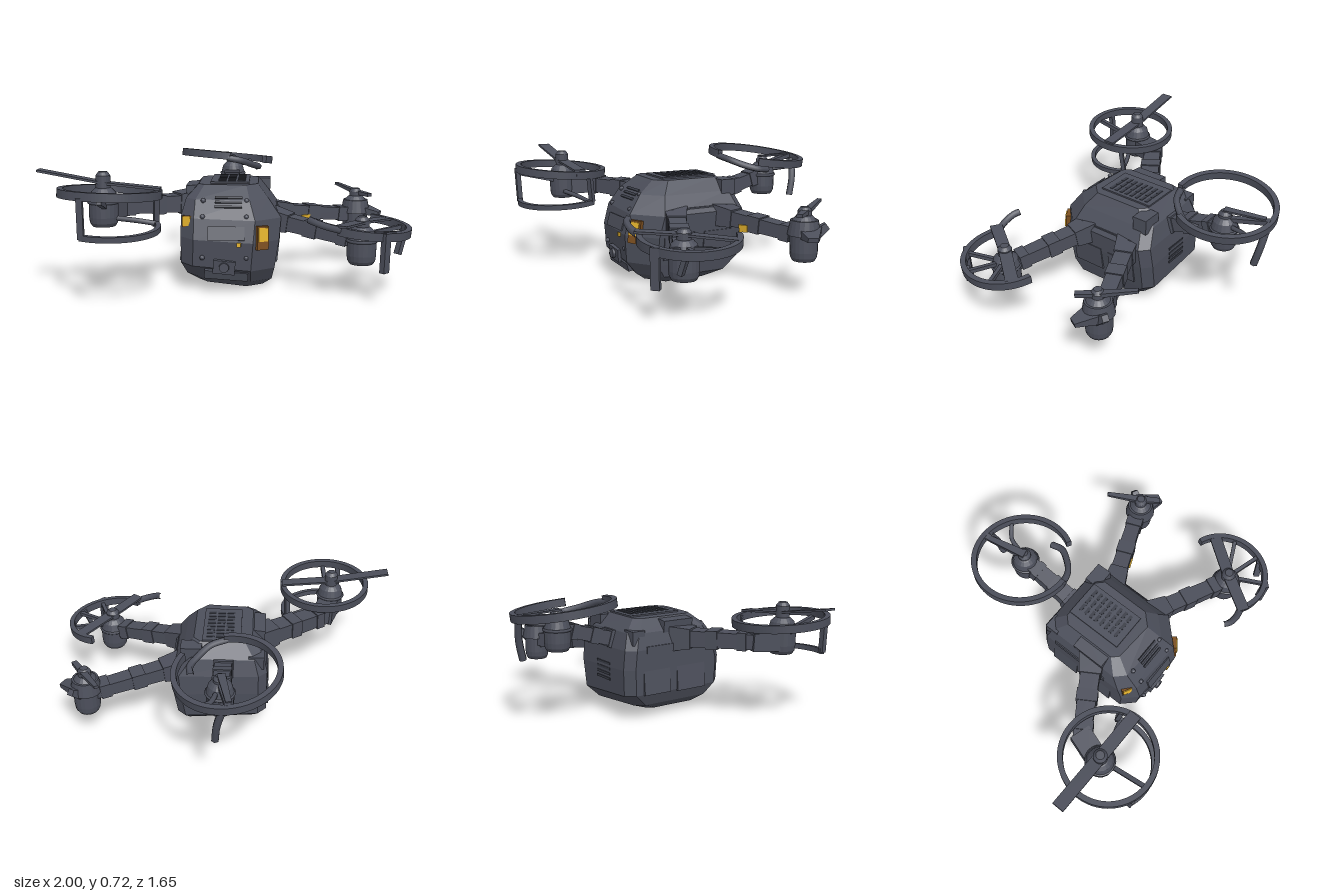
import * as THREE from 'three';

const mat = (name, color, extra = {}) => Object.assign(new THREE.MeshStandardMaterial({ color, ...extra }), { name });

export function createModel() {
  const root = new THREE.Group();
  root.name = 'damagedQuadcopter';
  const shell = mat('slateShell', 0x4c4f5b, { flatShading: true });
  const smooth = mat('slateMetal', 0x4c4f5b);
  const dark = mat('darkVent', 0x3a3d47);
  const amber = mat('amberLamp', 0xf0bc30);
  const brown = mat('brownLampRim', 0x7d5020);

  const add = (name, geo, m, p = [0, 0, 0], r = [0, 0, 0]) => {
    const mesh = new THREE.Mesh(geo, m);
    mesh.name = name;
    mesh.position.set(...p);
    mesh.rotation.set(...r);
    root.add(mesh);
    return mesh;
  };
  const box = (name, size, p, r, m = shell) => add(name, new THREE.BoxGeometry(...size), m, p, r);

  // Tapered bar between two points
  const beam = (name, a, b, w, h, taper = 1) => {
    const A = new THREE.Vector3(...a), B = new THREE.Vector3(...b), len = A.distanceTo(B);
    const g = new THREE.BoxGeometry(w, h, len).translate(0, 0, len / 2);
    const q = g.attributes.position;
    for (let i = 0; i < q.count; i++) {
      if (q.getZ(i) > len / 2) q.setXY(i, q.getX(i) * taper, q.getY(i) * taper);
    }
    add(name, g, shell, a).lookAt(B);
  };

  // Flat guard band; angles in degrees, from +x towards +z
  const guard = (name, p, r, a0, a1, tilt, h = 0.045, t = 0.03) => {
    const s = new THREE.Shape(), d = Math.PI / 180;
    s.absarc(0, 0, r, a0 * d, a1 * d, false);
    s.absarc(0, 0, r - t, a1 * d, a0 * d, true);
    const g = new THREE.ExtrudeGeometry(s, { depth: h, bevelEnabled: false, curveSegments: 48 });
    g.translate(0, 0, -h / 2).rotateX(Math.PI / 2);
    add(name, g, smooth, p, tilt);
  };

  const strand = (name, pts, r = 0.014) => add(name, new THREE.TubeGeometry(
    new THREE.CatmullRomCurve3(pts.map(p => new THREE.Vector3(...p))), 24, r, 6), smooth);

  // Motor can with a domed shoulder and a stepped hub
  const motor = (name, x, z, y0, y1, top, r) => {
    const prof = [[0, y0], [r * 0.8, y0], [r * 0.95, y0 + 0.02], [r, y0 + 0.05], [r, y1 - 0.04], [r * 0.85, y1],
      [r * 0.6, y1 + 0.02], [r * 0.5, y1 + 0.025], [r * 0.5, top - 0.02], [r * 0.3, top], [0, top]];
    add(name, new THREE.LatheGeometry(prof.map(p => new THREE.Vector2(...p)), 20), shell, [x, 0, z]);
    add(name + 'Collar', new THREE.TorusGeometry(r, 0.009, 6, 20), smooth, [x, y1 - 0.05, z], [Math.PI / 2, 0, 0]);
  };

  // Hull: chamfered rectangles [y, x0, x1, z0, z1, front chamfer, rear chamfer] stacked upwards
  const levels = [
    [0, -0.17, 0.19, -0.05, 0.32, 0.07, 0.04],
    [0.045, -0.235, 0.24, -0.17, 0.38, 0.09, 0.05],
    [0.12, -0.265, 0.255, -0.25, 0.44, 0.1, 0.05],
    [0.28, -0.265, 0.28, -0.255, 0.455, 0.11, 0.05],
    [0.4, -0.265, 0.29, -0.245, 0.425, 0.11, 0.05],
    [0.5, -0.24, 0.22, -0.215, 0.35, 0.08, 0.05],
    [0.575, -0.175, 0.16, -0.14, 0.26, 0.05, 0.04],
  ];
  const pos = [], idx = [];
  for (const [y, x0, x1, z0, z1, f, c] of levels) {
    const fl = f * 0.7, fr = f * 1.3, zl = z1 - 0.015;
    const loop = [[x0 + fl, zl], [x1 - fr, z1], [x1, z1 - fr], [x1, z0 + c],
      [x1 - c, z0], [x0 + c, z0], [x0, z0 + c], [x0, zl - fl]];
    for (const [x, z] of loop) pos.push(x, y + Math.max(0, 0.575 - y) * 0.16 * (0.2 - x), z);
  }
  for (let l = 0; l < levels.length - 1; l++) {
    for (let i = 0; i < 8; i++) {
      const a = l * 8 + i, b = l * 8 + (i + 1) % 8;
      idx.push(a, b, b + 8, a, b + 8, a + 8);
    }
  }
  const last = (levels.length - 1) * 8;
  for (let i = 1; i < 7; i++) idx.push(last, last + i, last + i + 1, 0, i + 1, i);
  const hull = new THREE.BufferGeometry();
  hull.setAttribute('position', new THREE.Float32BufferAttribute(pos, 3));
  hull.setIndex(idx);
  hull.computeVertexNormals();
  add('bodyHull', hull, shell);

  // Roof grille, front vent and underside grille
  box('roofPanel', [0.22, 0.012, 0.34], [0, 0.578, 0.03]);
  for (let i = 0; i < 8; i++) {
    for (const x of [-0.045, 0.01, 0.065]) box('roofVentSlot', [0.045, 0.006, 0.018], [x, 0.584, -0.1 + i * 0.036], [0, 0, 0], dark);
  }
  for (let i = 0; i < 3; i++) box('noseVentSlot', [0.15, 0.008, 0.014], [0, 0.515 - i * 0.022, 0.335 + i * 0.02], [0.75, 0, 0], dark);
  for (let i = 0; i < 8; i++) box('bellyVentSlot', [0.18, 0.008, 0.016], [0.03, 0.014, 0.02 + i * 0.032], [0, 0, -0.09], dark);
  for (let i = 0; i < 4; i++) box('rearVentSlot', [0.14, 0.014, 0.008], [0, 0.22 + i * 0.03, -0.254], [0, 0, 0], dark);

  // Front face: plate, sensor, bumper and rivets
  box('nosePlate', [0.2, 0.075, 0.012], [-0.01, 0.335, 0.441], [-0.28, 0, 0]);
  box('noseBumper', [0.24, 0.05, 0.03], [-0.01, 0.1, 0.415], [0.3, 0, -0.08]);
  box('sensorHousing', [0.12, 0.075, 0.05], [-0.02, 0.15, 0.43], [0.1, 0, -0.1]);
  add('sensorLens', new THREE.CylinderGeometry(0.026, 0.03, 0.03, 16), smooth, [-0.02, 0.15, 0.455], [Math.PI / 2, 0, 0]);
  for (const x of [-0.14, 0.1]) {
    for (const [y, z] of [[0.5, 0.345], [0.42, 0.405], [0.2, 0.44]]) {
      add('rivet', new THREE.SphereGeometry(0.014, 8, 6), smooth, [x, y, z]);
    }
  }

  // Amber lamps
  box('lampRimLeft', [0.075, 0.13, 0.04], [0.18, 0.307, 0.407], [-0.1, 0.6, 0], brown);
  box('lampLeft', [0.06, 0.075, 0.008], [0.191, 0.327, 0.424], [-0.1, 0.6, 0], amber);
  box('lampRimRight', [0.062, 0.064, 0.03], [-0.222, 0.387, 0.365], [-0.1, -0.5, 0], brown);
  box('lampRight', [0.052, 0.052, 0.008], [-0.229, 0.39, 0.379], [-0.1, -0.5, 0], amber);
  box('noseIndicator', [0.022, 0.022, 0.009], [0.06, 0.275, 0.457], [0, 0, 0], amber);

  // Side panels and shoulder blocks
  for (const [x, s] of [[0.268, 1], [-0.262, -1]]) {
    box('sidePanel', [0.02, 0.15, 0.2], [x, 0.22, 0.18], [0, 0, -0.1]);
    box('sidePanelRear', [0.02, 0.14, 0.18], [x, 0.22, -0.06], [0, 0, -0.1]);
    box('sideRail', [0.03, 0.04, 0.36], [x - s * 0.01, 0.41, 0.05]);
  }
  box('shoulderRight', [0.1, 0.1, 0.2], [-0.195, 0.515, 0.1], [0, 0, 0.1]);
  box('shoulderRear', [0.12, 0.09, 0.09], [0.17, 0.52, -0.16]);
  box('shoulderRearRight', [0.09, 0.08, 0.08], [-0.2, 0.48, -0.17]);

  // Arms: root socket, tapered spar and clamp rings along it
  const arm = (name, a, b, w) => {
    const at = t => a.map((v, i) => v + (b[i] - v) * t);
    beam(name + 'Socket', at(-0.12), at(0.15), w * 1.35, w * 1.25, 0.8);
    beam(name, a, b, w, w * 0.85, 0.85);
    beam(name + 'Clamp', at(0.36), at(0.52), w * 1.05, w * 0.92);
    beam(name + 'Cuff', at(0.78), at(0.9), w, w * 0.88);
  };
  arm('rearArm', [-0.015, 0.445, -0.2], [-0.015, 0.535, -0.52], 0.1);
  arm('frontRightArm', [-0.25, 0.455, 0.13], [-0.62, 0.47, 0.36], 0.115);
  beam('frontRightElbow', [-0.6, 0.47, 0.33], [-0.66, 0.46, 0.52], 0.12, 0.1);
  arm('frontLeftArm', [0.28, 0.37, 0.21], [0.7, 0.3, 0.395], 0.1);
  arm('rearLeftArm', [0.28, 0.37, -0.11], [0.74, 0.32, -0.3], 0.1);
  box('armLamp', [0.055, 0.04, 0.009], [0.448, 0.32, -0.124], [0.1, 0.39, 0], amber);

  // Rear rotor: open guard with a torn, curled end
  motor('rearMotor', -0.015, -0.56, 0.42, 0.59, 0.65, 0.075);
  guard('rearGuard', [-0.05, 0.655, -0.535], 0.295, 84, 390, [-0.1, 0, -0.09]);
  strand('rearGuardTornEnd', [[-0.04, 0.67, -0.255], [0.05, 0.65, -0.285], [0.115, 0.62, -0.35], [0.155, 0.6, -0.42], [0.145, 0.59, -0.49]], 0.02);
  beam('rearStrut', [-0.02, 0.6, -0.58], [-0.07, 0.64, -0.81], 0.035, 0.025);
  strand('rearBrokenStrut', [[0, 0.57, -0.6], [0.03, 0.58, -0.7], [0.1, 0.6, -0.76]]);
  strand('rearHangingStrut', [[-0.04, 0.62, -0.805], [-0.01, 0.5, -0.79], [0, 0.39, -0.765]], 0.022);
  beam('rearBlade', [-0.02, 0.65, -0.55], [-0.07, 0.65, -0.78], 0.045, 0.012, 0.7);

  // Front right rotor: full guard, blades and a hanging lower hoop
  motor('frontRightMotor', -0.655, 0.52, 0.39, 0.57, 0.68, 0.078);
  guard('frontRightGuard', [-0.615, 0.57, 0.545], 0.275, 0, 359.9, [-0.06, 0, -0.03]);
  guard('frontRightLowerHoop', [-0.615, 0.385, 0.55], 0.265, -30, 116, [0.05, 0, -0.03], 0.03, 0.027);
  beam('frontRightHoopPost', [-0.72, 0.58, 0.79], [-0.72, 0.37, 0.78], 0.032, 0.028);
  beam('frontRightHoopPostInner', [-0.38, 0.57, 0.45], [-0.39, 0.39, 0.43], 0.03, 0.025);
  beam('frontRightStrut', [-0.64, 0.5, 0.57], [-0.62, 0.56, 0.8], 0.025, 0.025);
  strand('frontRightSideStrut', [[-0.62, 0.44, 0.55], [-0.48, 0.41, 0.48], [-0.39, 0.39, 0.45]]);
  beam('frontRightBladeOuter', [-0.65, 0.62, 0.52], [-1, 0.685, 0.52], 0.07, 0.012);
  beam('frontRightBladeInner', [-0.65, 0.62, 0.52], [-0.35, 0.59, 0.52], 0.07, 0.012);

  // Front left rotor: half guard, spokes and blades
  motor('frontLeftMotor', 0.725, 0.405, 0.17, 0.35, 0.43, 0.08);
  guard('frontLeftGuard', [0.728, 0.375, 0.375], 0.265, -72, 125, [0.03, 0, -0.1]);
  strand('frontLeftGuardTornEnd', [[0.59, 0.39, 0.59], [0.52, 0.41, 0.6], [0.46, 0.43, 0.59], [0.43, 0.44, 0.57]], 0.02);
  for (const [x, z] of [[0.95, 0.47], [0.83, 0.6], [0.95, 0.3]]) beam('frontLeftSpoke', [0.74, 0.33, 0.4], [x, 0.355, z], 0.022, 0.022);
  beam('frontLeftBladeRear', [0.725, 0.4, 0.405], [0.89, 0.38, 0.19], 0.07, 0.012);
  beam('frontLeftBladeFront', [0.725, 0.4, 0.405], [0.59, 0.41, 0.61], 0.07, 0.012);
  beam('frontLeftHangingStrut', [0.825, 0.38, 0.615], [0.82, 0.17, 0.61], 0.045, 0.03);
  beam('frontLeftOuterStub', [0.93, 0.36, 0.5], [0.9, 0.25, 0.52], 0.035, 0.025);

  // Rear left rotor: guard lost, one bent blade and a broken bracket
  motor('rearLeftMotor', 0.765, -0.3, 0.19, 0.41, 0.48, 0.075);
  add('rearLeftMotorCap', new THREE.CylinderGeometry(0.075, 0.09, 0.08, 20), shell, [0.765, 0.37, -0.3]);
  beam('rearLeftBladeOuter', [0.77, 0.455, -0.31], [0.66, 0.485, -0.48], 0.04, 0.025, 0.6);
  beam('rearLeftBladeInner', [0.77, 0.455, -0.31], [0.84, 0.45, -0.21], 0.04, 0.025, 0.8);
  beam('rearLeftBracket', [0.79, 0.35, -0.31], [0.91, 0.33, -0.25], 0.14, 0.06, 0.4);
  beam('rearLeftBracketStub', [0.8, 0.33, -0.34], [0.83, 0.38, -0.4], 0.06, 0.06, 0.6);
  return root;
}
